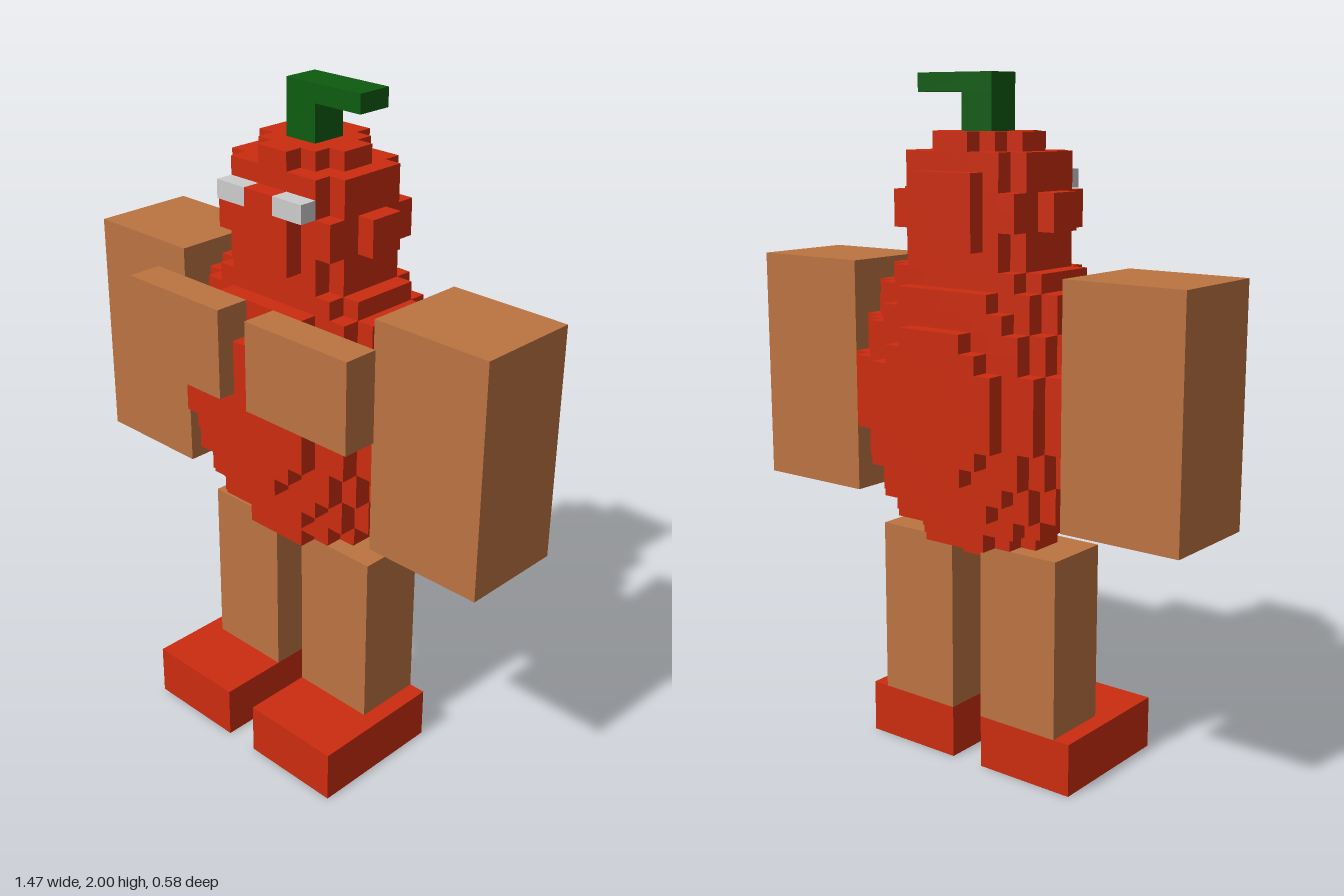
import * as THREE from 'three';
import { mergeGeometries } from 'three/addons/utils/BufferGeometryUtils.js';

// One block edge: the figure is 38 blocks tall.
const U = 2 / 38;

const mat = (name, color) => {
  const m = new THREE.MeshStandardMaterial({ color });
  m.name = name;
  return m;
};

// Block-stepped ellipsoids; both are centred on z = -0.5 blocks.
const inside = (x, y, z, cy, rx, ry, rz) =>
  (x / rx) ** 2 + ((y - cy) / ry) ** 2 + ((z + 0.5) / rz) ** 2 < 1;
const inBody = (x, y, z) => Math.abs(x) < 7 && inside(x, y, z, 21, 7.65, 8.8, 5.2);
const isEye = (x, y, z) => Math.abs(x) > 1 && Math.abs(x) < 3 && y > 32 && y < 33 && z > 2.5;
const inHead = (x, y, z) =>
  !inBody(x, y, z) && !isEye(x, y, z) && inside(x, y, z, 31, 4.7, 4.5, 4.15);
const solid = (x, y, z) => inBody(x, y, z) || inHead(x, y, z);

// The six sides of a block: outward direction and a matching square.
const sides = [[1, 0, 0], [-1, 0, 0], [0, 1, 0], [0, -1, 0], [0, 0, 1], [0, 0, -1]].map((d) => {
  const square = new THREE.PlaneGeometry(U, U);
  const n = new THREE.Vector3(...d);
  square.applyQuaternion(new THREE.Quaternion().setFromUnitVectors(new THREE.Vector3(0, 0, 1), n));
  square.translate(d[0] * U / 2, d[1] * U / 2, d[2] * U / 2);
  return { d, square };
});

// Outer block faces of the shape described by test(x, y, z).
function blockShell(test) {
  const faces = [];
  for (let x = -7.5; x < 8; x++)
    for (let y = 11.5; y < 36; y++)
      for (let z = -6; z <= 5; z++) {
        if (!test(x, y, z)) continue;
        for (const { d, square } of sides)
          if (!solid(x + d[0], y + d[1], z + d[2]))
            faces.push(square.clone().translate(x * U, y * U, z * U));
      }
  return mergeGeometries(faces);
}

export function createModel() {
  const red = mat('red', 0xcc2c0f);
  const tan = mat('tan', 0xbc7341);
  const green = mat('green', 0x0e5c10);
  const grey = mat('light grey', 0xcccccc);
  const model = new THREE.Group();
  model.name = 'blockFigure';

  const add = (name, geometry, material) => {
    const mesh = new THREE.Mesh(geometry, material);
    mesh.name = name;
    model.add(mesh);
    return mesh;
  };
  // Box from its limits, in blocks.
  const box = (name, material, [x0, x1], [y0, y1], [z0, z1]) =>
    add(name, new THREE.BoxGeometry((x1 - x0) * U, (y1 - y0) * U, (z1 - z0) * U), material)
      .position.set((x0 + x1) / 2 * U, (y0 + y1) / 2 * U, (z0 + z1) / 2 * U);
  const pair = (name, material, [x0, x1], y, z) => {
    box('left' + name, material, [x0, x1], y, z);
    box('right' + name, material, [-x1, -x0], y, z);
  };

  // Rounded torso and head
  add('body', blockShell(inBody), red);
  add('head', blockShell(inHead), red);

  // Bent stem
  box('stem', green, [-1, 1], [35, 37], [-1.5, 0.5]);
  box('stemTip', green, [-1, 4], [37, 38], [-1.5, 0.5]);

  // Face, chest and limbs
  pair('Eye', grey, [1, 3], [32, 33], [2.5, 3.5]);
  pair('Chest', tan, [1, 8], [22, 27], [3.5, 5.5]);
  pair('Arm', tan, [7, 14], [15, 28], [-3.5, 2.5]);
  pair('Leg', tan, [1, 6], [3, 13], [-2.5, 1.5]);
  pair('Foot', red, [1, 7], [0, 3], [-2.5, 5.5]);

  return model;
}
